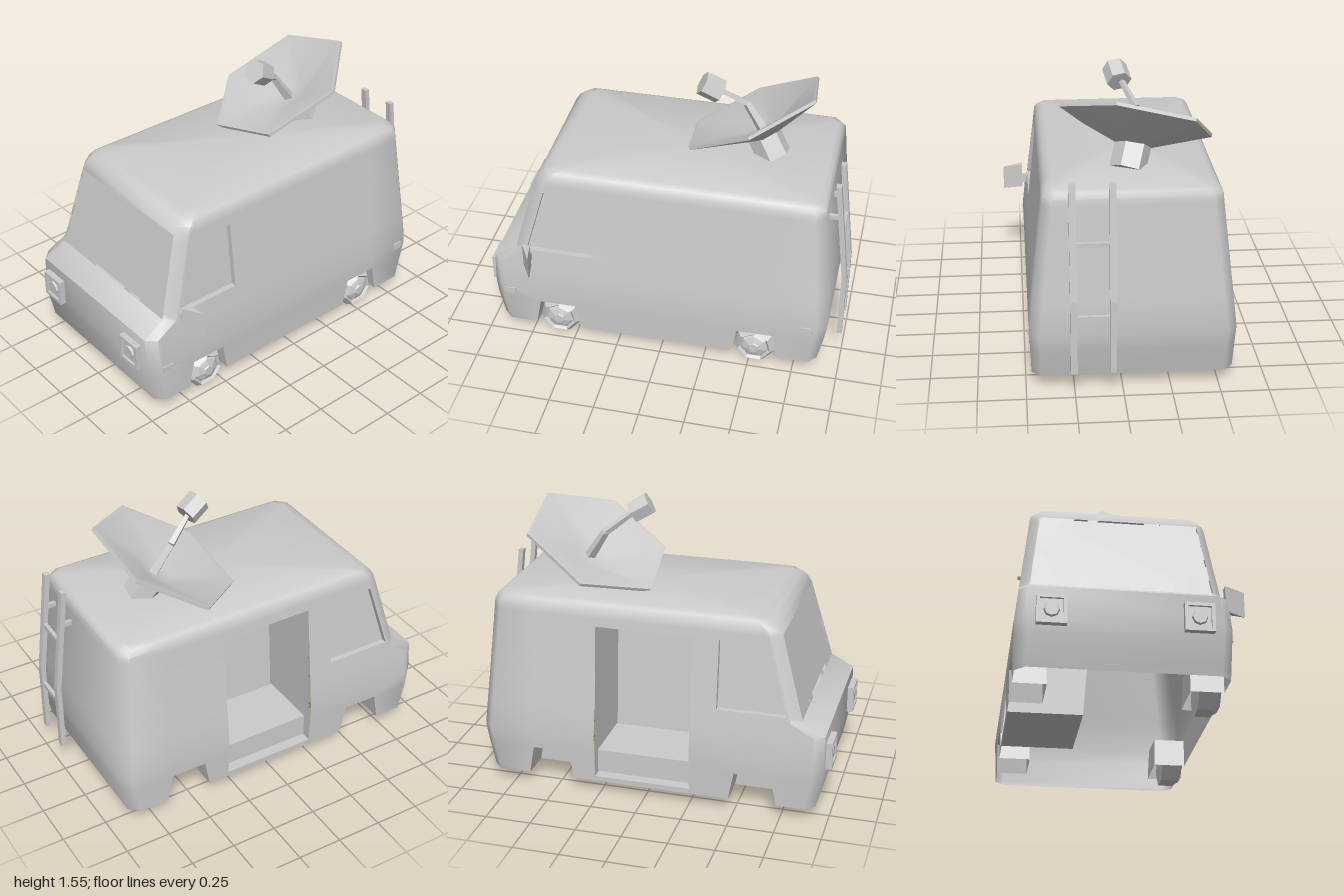
import * as THREE from 'three';
import { toCreasedNormals } from 'three/addons/utils/BufferGeometryUtils.js';

const V = (x, y, z) => new THREE.Vector3(x, y, z);
const ZC = -0.055; // centre line of the van body
const C = 0.05; // corner chamfer

export function createModel() {
  const group = new THREE.Group();
  const smooth = new THREE.MeshStandardMaterial({ color: 0xcccccc, side: THREE.DoubleSide });
  const flat = new THREE.MeshStandardMaterial({ color: 0xcccccc, side: THREE.DoubleSide, flatShading: true });

  const add = (name, geo, mat = flat) => {
    const mesh = new THREE.Mesh(geo, mat);
    mesh.name = name;
    group.add(mesh);
    return mesh;
  };
  const box = (name, w, h, d, x, y, z) => {
    const mesh = add(name, new THREE.BoxGeometry(w, h, d));
    mesh.position.set(x, y, z);
    return mesh;
  };
  const fromTriangles = (points) => {
    const geo = new THREE.BufferGeometry().setFromPoints(points);
    geo.computeVertexNormals();
    return geo;
  };
  const quad = (a, b, c, d) => [a, b, c, a, c, d];
  const polygon = (pts) => new THREE.Shape(pts.map(([x, y]) => new THREE.Vector2(x, y)));
  const prism = (pts, depth) => new THREE.ExtrudeGeometry(polygon(pts), { depth, bevelEnabled: false });
  // straight rod with a given number of sides between two points
  const rod = (name, a, b, r0, r1, sides) => {
    const mesh = add(name, new THREE.CylinderGeometry(r1, r0, a.distanceTo(b), sides));
    mesh.position.copy(a).lerp(b, 0.5);
    mesh.quaternion.setFromUnitVectors(V(0, 1, 0), b.clone().sub(a).normalize());
  };

  // Body shell, open underneath: height, front x, rear x, half width
  const levels = [
    [0.07, -0.93, 0.88, 0.525],
    [0.1, -0.936, 0.886, 0.526],
    [0.23, -0.96, 0.912, 0.53],
    [0.32, -0.965, 0.925, 0.535],
    [0.48, -0.965, 0.912, 0.517],
    [0.55, -0.84, 0.906, 0.51],
    [0.58, -0.832, 0.903, 0.506],
    [0.955, -0.7275, 0.872, 0.464],
    [1.0, -0.715, 0.868, 0.459],
    [1.04, -0.69, 0.865, 0.455],
    [1.07, -0.66, 0.85, 0.435],
    [1.085, -0.61, 0.825, 0.405],
  ];
  const wheelX = [-0.595, 0.53];
  const rings = levels.map(([y, xf, xr, w]) => {
    // side columns follow the wheel arches low down and the cab window higher up
    const half = 0.13 - Math.min(y - 0.07, 0.16) * 0.19;
    const low = y < 0.3;
    const xs = [
      xf + C,
      low ? wheelX[0] - half : xf + 0.07,
      low ? wheelX[0] + half : -0.39,
      -0.25, 0.28, wheelX[1] - half, wheelX[1] + half, xr - C,
    ];
    return [
      ...xs.map((x) => V(x, y, ZC - w)),
      V(xr, y, ZC - w + C), V(xr, y, ZC + w - C),
      ...xs.reverse().map((x) => V(x, y, ZC + w)),
      V(xf, y, ZC + w - C), V(xf, y, ZC - w + C),
    ];
  });

  // Openings: name, first and last level, column, recess depth, reveal sides
  const openings = [
    ['rightCabWindow', 6, 7, 1, V(0, 0, 0.03), [0, 1, 2, 3]],
    ['leftCabWindow', 6, 7, 15, V(0, 0, -0.03), [0, 1, 2, 3]],
    ['windshield', 5, 8, 18, V(0.015, 0, 0), [0, 1, 2, 3]],
    ['doorwayInterior', 1, 7, 3, V(0, 0, 0.4), [0, 1, 2, 3]],
    ['rightFrontWheelWell', 0, 2, 1, V(0, 0, 0.17), [0, 1, 2]],
    ['rightRearWheelWell', 0, 2, 5, V(0, 0, 0.17), [0, 1, 2]],
    ['leftRearWheelWell', 0, 2, 11, V(0, 0, -0.17), [0, 1, 2]],
    ['leftFrontWheelWell', 0, 2, 15, V(0, 0, -0.17), [0, 1, 2]],
  ];
  const cornersOf = (l0, l1, k) => [rings[l0][k], rings[l1][k], rings[l1][k + 1], rings[l0][k + 1]];
  for (const [name, l0, l1, k, offset, sides] of openings) {
    const corners = cornersOf(l0, l1, k);
    const inner = corners.map((p) => p.clone().add(offset));
    const tris = quad(...inner);
    for (const i of sides) {
      const j = (i + 1) % 4;
      tris.push(...quad(corners[i], corners[j], inner[j], inner[i]));
    }
    add(name, fromTriangles(tris));
  }

  const n = rings[0].length;
  const shell = [];
  for (let l = 0; l < rings.length - 1; l++) {
    for (let k = 0; k < n; k++) {
      if (openings.some(([, l0, l1, column]) => column === k && l >= l0 && l < l1)) continue;
      const j = (k + 1) % n;
      shell.push(...quad(rings[l][k], rings[l + 1][k], rings[l + 1][j], rings[l][j]));
    }
  }
  const roof = rings[rings.length - 1];
  roof.forEach((p, k) => shell.push(V(0.1, 1.086, ZC), roof[(k + 1) % n], p));
  add('bodyShell', toCreasedNormals(fromTriangles(shell), 0.9), smooth);
  box('doorwayFloor', 0.53, 0.13, 0.34, 0.015, 0.168, -0.355);

  // Broken glass left around the windshield frame
  const frame = cornersOf(5, 8, 18);
  const glass = (u, v) => frame[0].clone().lerp(frame[3], u).lerp(frame[1].clone().lerp(frame[2], u), v);
  const shards = [];
  const teeth = [[0.0, 0.14, 0.42], [0.12, 0.22, 0.2], [0.3, 0.37, 0.13], [0.66, 0.76, 0.3], [0.76, 0.86, 0.18], [0.85, 1, 0.45]];
  for (const [a, b, h] of teeth) {
    shards.push(glass(a, 0), glass(b, 0), glass(a + (b - a) * 0.7, h));
    shards.push(glass(1 - a, 1), glass(1 - b, 1), glass(1 - b + (b - a) * 0.3, 1 - h));
  }
  for (const u of [0, 1]) {
    for (const v of [0.2, 0.5, 0.7]) shards.push(glass(u, v), glass(u, v + 0.2), glass(Math.abs(u - 0.09), v + 0.08));
  }
  add('windshieldShards', fromTriangles(shards));

  // Wheels, fitted on the left side only
  const tyre = [[0, -0.06], [0.12, -0.06], [0.12, 0.02], [0.095, 0.055], [0.08, 0.04],
    [0.07, 0.05], [0.035, 0.062], [0.03, 0.068], [0, 0.068]].map(([r, y]) => new THREE.Vector2(r, y));
  for (const x of wheelX) {
    const geo = new THREE.LatheGeometry(tyre, 7, Math.PI / 7).rotateX(Math.PI / 2);
    add('wheel', geo).position.set(x, 0.115, 0.408);
  }

  // Headlights: square frame and round lens
  for (const z of [ZC - 0.36, ZC + 0.36]) {
    box('headlightBase', 0.02, 0.15, 0.15, -0.976, 0.35, z);
    for (const s of [-1, 1]) {
      box('headlightFrame', 0.025, 0.018, 0.15, -0.987, 0.35 + s * 0.066, z);
      box('headlightFrame', 0.025, 0.114, 0.018, -0.987, 0.35, z + s * 0.066);
    }
    const lens = add('headlightLens', new THREE.CylinderGeometry(0.035, 0.045, 0.02, 8).rotateZ(Math.PI / 2));
    lens.position.set(-0.987, 0.35, z);
  }

  // Marker lights
  box('frontMarker', 0.065, 0.035, 0.03, -0.87, 0.29, ZC + 0.525);
  box('rearMarker', 0.06, 0.04, 0.03, 0.815, 0.31, ZC + 0.528);

  // Wing mirror: a wedge on a short arm
  box('mirrorArm', 0.025, 0.05, 0.06, -0.745, 0.545, 0.465);
  const wedge = prism([[-0.775, 0.482], [-0.73, 0.482], [-0.708, 0.595]], 0.14);
  add('mirror', wedge.rotateX(Math.PI / 2).translate(0, 0.635, 0));

  // Rear ladder
  const rail = [[0.967, 0.14], [0.995, 0.14], [0.995, 0.54], [0.924, 1.145], [0.896, 1.145], [0.967, 0.54]];
  for (const z of [0.055, 0.255]) {
    add('ladderRail', prism(rail, 0.035).translate(0, 0, z - 0.0175));
    box('ladderBracket', 0.07, 0.025, 0.02, 0.9, 0.94, z);
  }
  box('ladderRung', 0.02, 0.025, 0.17, 0.947, 0.832, 0.155);
  box('ladderRung', 0.02, 0.025, 0.17, 0.981, 0.445, 0.155);

  // Dish: six-sided shallow cone, one rim corner pointing to the high side
  const centre = V(0.395, 1.288, -0.112);
  const axis = V(-0.45, 0.87, -0.19).normalize();
  const toCorner = V(0.73, 1.5, 0.02).sub(centre);
  toCorner.addScaledVector(axis, -toCorner.dot(axis)).normalize();
  const basis = new THREE.Matrix4().makeBasis(V(0, 0, 0).crossVectors(axis, toCorner), axis, toCorner);
  const cone = [[0, -0.14], [0.1, -0.13], [0.418, -0.01], [0.418, 0.008], [0.395, 0.008],
    [0.1, -0.1], [0, -0.11]].map(([r, y]) => new THREE.Vector2(r, y));
  const dish = add('dish', toCreasedNormals(new THREE.LatheGeometry(cone, 6).toNonIndexed(), 0.8), smooth);
  dish.quaternion.setFromRotationMatrix(basis);
  dish.position.copy(centre);

  // Dish mount, feed arm and receiver
  const along = (d) => centre.clone().addScaledVector(axis, d);
  rod('dishMount', along(-0.26).add(V(0.01, 0, 0.01)), along(-0.125), 0.096, 0.096, 6);
  const elbow = V(0.35, 1.345, -0.11), tip = V(0.21, 1.45, -0.045);
  rod('feedArmBase', V(0.46, 1.18, -0.09), elbow, 0.032, 0.022, 4);
  rod('feedArm', elbow, tip, 0.022, 0.016, 4);
  rod('receiver', V(0.22, 1.445, -0.035), V(0.125, 1.5, -0.015), 0.066, 0.066, 6);

  return group;
}
